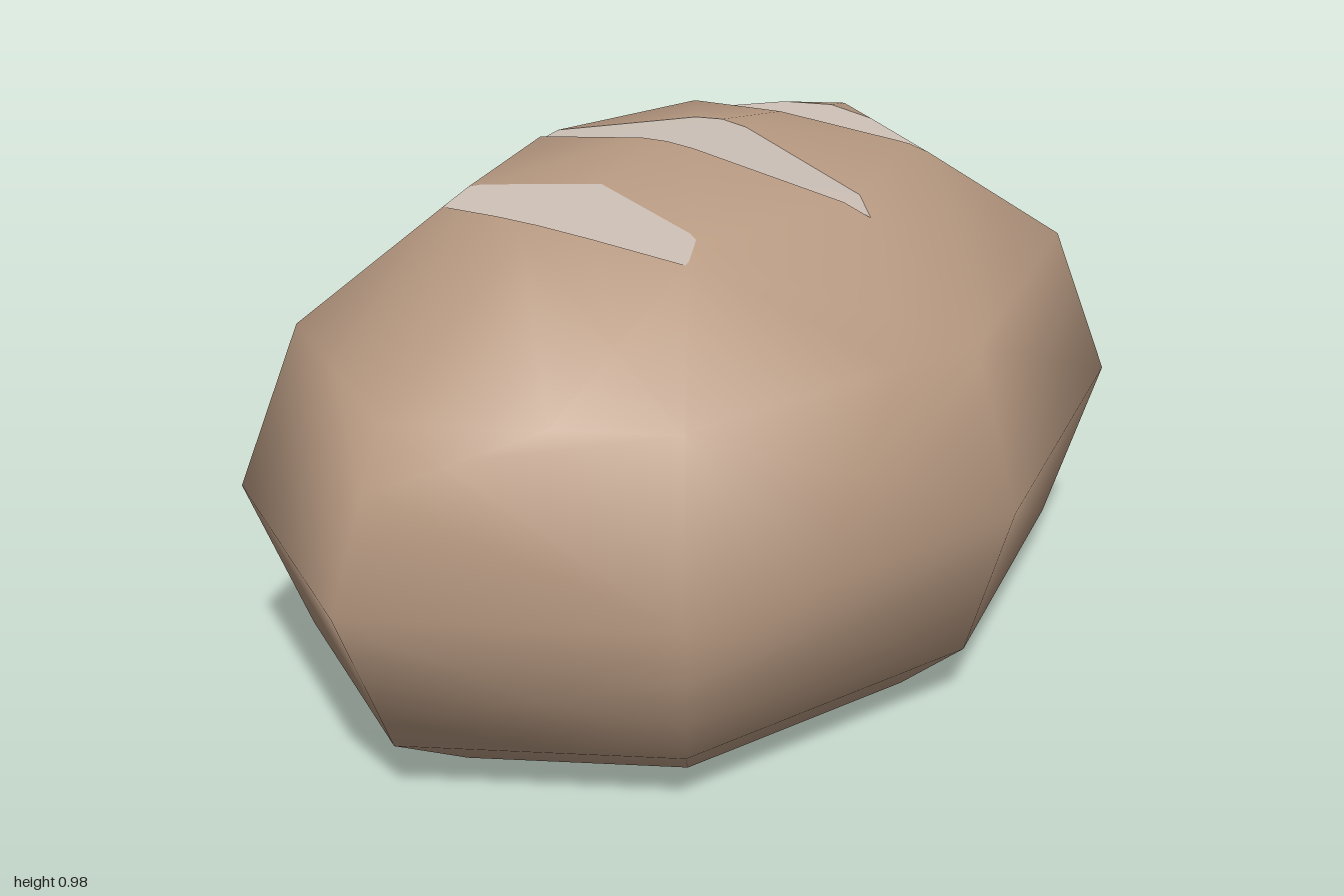
import * as THREE from 'three';

const CENTER_Y = 0.405, RADII = new THREE.Vector3(1, 0.59, 0.693);
const V = (x, y, z) => new THREE.Vector3(x, y, z);

// Keep the side of a polygon where f(position) >= 0; corners are { p, n }
function clip(poly, f) {
  const out = [];
  poly.forEach((a, i) => {
    const b = poly[(i + 1) % poly.length];
    const fa = f(a.p), fb = f(b.p);
    if (fa >= 0) out.push(a);
    if ((fa >= 0) !== (fb >= 0)) {
      const t = fa / (fa - fb);
      out.push({ p: a.p.clone().lerp(b.p, t), n: a.n.clone().lerp(b.n, t).normalize() });
    }
  });
  return out.length > 2 ? out : [];
}

// Fan polygons into one mesh, each triangle wound to agree with its normals
function meshFrom(name, polys, material) {
  const pos = [], nor = [];
  for (const poly of polys) {
    for (let i = 1; i < poly.length - 1; i++) {
      const tri = [poly[0], poly[i], poly[i + 1]];
      const face = tri[1].p.clone().sub(tri[0].p).cross(tri[2].p.clone().sub(tri[0].p));
      if (face.length() < 1e-9) continue;
      if (face.dot(tri[0].n) < 0) tri.reverse();
      for (const c of tri) {
        pos.push(...c.p.toArray());
        nor.push(...c.n.toArray());
      }
    }
  }
  const g = new THREE.BufferGeometry();
  g.setAttribute('position', new THREE.Float32BufferAttribute(pos, 3));
  g.setAttribute('normal', new THREE.Float32BufferAttribute(nor, 3));
  const mesh = new THREE.Mesh(g, material);
  mesh.name = name;
  return mesh;
}

export function createModel() {
  const crust = new THREE.MeshStandardMaterial({ color: 0xb89a82 });
  crust.name = 'crust brown';
  const crumb = new THREE.MeshStandardMaterial({ color: 0xc6bab0 });
  crumb.name = 'pale crumb';

  // Low-poly ellipsoid as smooth-shaded triangles, plus its face planes
  const ball = new THREE.SphereGeometry(1, 8, 6).toNonIndexed().getAttribute('position');
  const triangles = [], planes = [];
  for (let i = 0; i < ball.count; i += 3) {
    const tri = [0, 1, 2].map((k) => {
      const unit = V(0, 0, 0).fromBufferAttribute(ball, i + k);
      const p = unit.clone().multiply(RADII);
      p.y += CENTER_Y;
      return { p, n: unit.divide(RADII).normalize() };
    });
    triangles.push(tri);
    planes.push(new THREE.Plane().setFromCoplanarPoints(...tri.map((c) => c.p)));
  }
  const insideLoaf = (poly) =>
    planes.reduce((q, plane) => clip(q, (p) => 1e-6 - plane.distanceToPoint(p)), poly);

  // V-shaped scores across the top: x and height of the bottom edge, wall slope
  const scores = [
    { name: 'rightScore', x: -0.39, y: 0.888, k: 0.56 },
    { name: 'middleScore', x: 0, y: 0.888, k: 1.09 },
    { name: 'leftScore', x: 0.39, y: 0.888, k: 0.56 },
  ];

  // Crust: cut flat at the bottom, then opened by each score
  let skin = triangles.map((t) => clip(t, (p) => p.y));
  for (const { x, y, k } of scores) {
    const wallA = (p) => p.y - y - k * (p.x - x);
    const wallB = (p) => p.y - y + k * (p.x - x);
    skin = skin.flatMap((q) => [
      clip(q, (p) => -wallA(p)),
      clip(clip(q, wallA), (p) => -wallB(p)),
    ]);
  }

  const loaf = new THREE.Group();
  loaf.name = 'breadLoaf';
  loaf.add(meshFrom('crust', skin, crust));

  // Flat underside
  const down = V(0, -1, 0);
  const base = [[-2, -2], [2, -2], [2, 2], [-2, 2]].map(([x, z]) => ({ p: V(x, 0, z), n: down }));
  loaf.add(meshFrom('underside', [insideLoaf(base)], crust));

  // Two sloping crumb walls in every score
  for (const { name, x, y, k } of scores) {
    const walls = [-1, 1].map((s) => {
      const n = V(-s * k, 1, 0).normalize();
      const corners = [V(x, y, -1), V(x, y, 1), V(x + s, y + k, 1), V(x + s, y + k, -1)];
      return insideLoaf(corners.map((p) => ({ p, n })));
    });
    loaf.add(meshFrom(name, walls, crumb));
  }
  return loaf;
}
